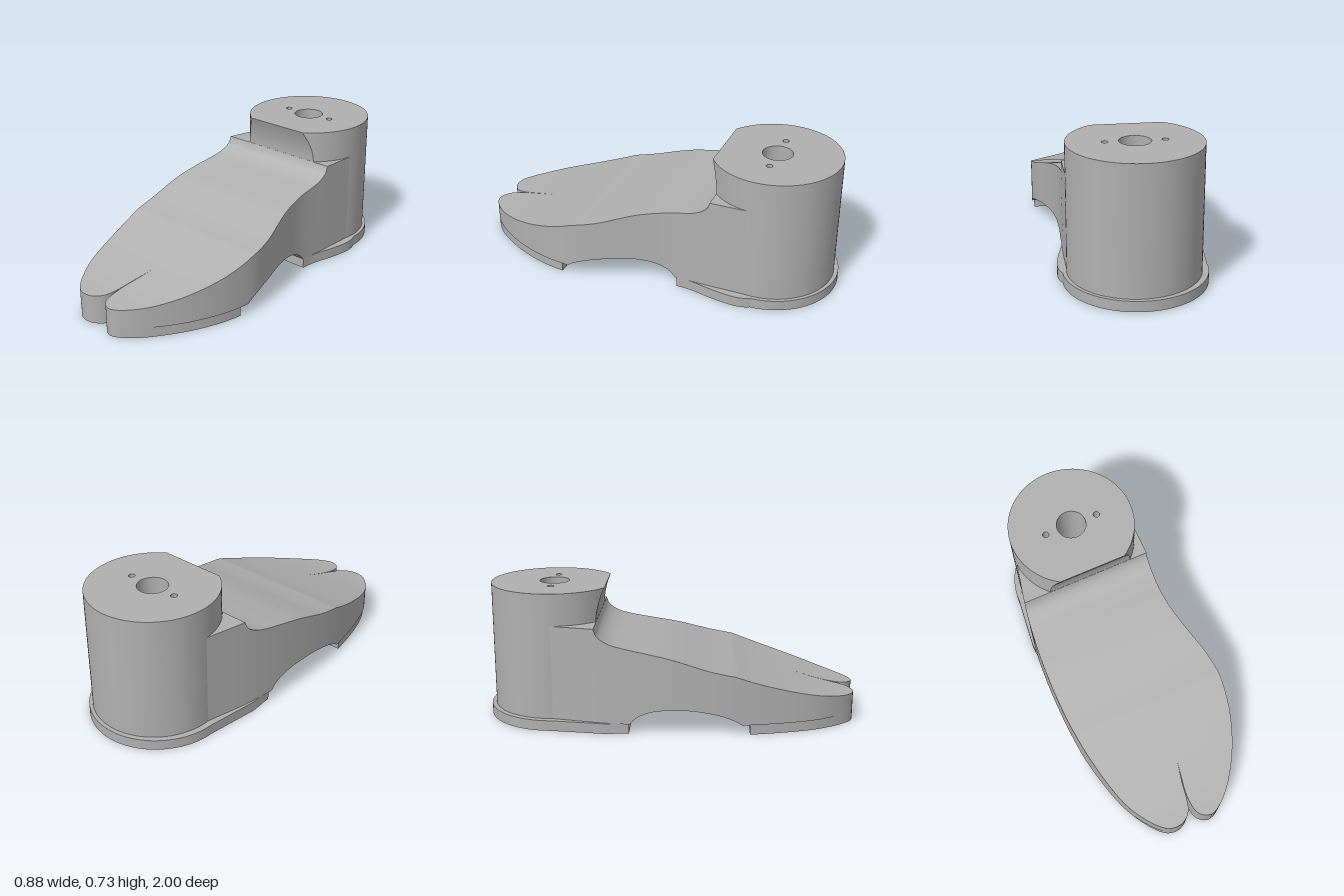
import * as THREE from 'three';
import { toCreasedNormals } from 'three/addons/utils/BufferGeometryUtils.js';

// Smooth function value(key) through [key, value] points
function curveFn(points) {
  const pts = new THREE.CatmullRomCurve3(points.map(([k, v]) => new THREE.Vector3(k, v, 0))).getPoints(240);
  return (k) => {
    if (k <= pts[0].x) return pts[0].y;
    for (let i = 1; i < pts.length; i++) {
      if (k <= pts[i].x) {
        const a = pts[i - 1], b = pts[i];
        return a.y + (b.y - a.y) * (k - a.x) / (b.x - a.x || 1);
      }
    }
    return pts[pts.length - 1].y;
  };
}

// Skin over equal-sized closed rings of [x, y, z]; caps are for four-cornered rings
function loft(rings, capped) {
  const n = rings[0].length, index = [];
  for (let i = 0; i < rings.length - 1; i++) {
    for (let k = 0; k < n; k++) {
      const a = i * n + k, b = i * n + (k + 1) % n;
      index.push(a, b, b + n, a, b + n, a + n);
    }
  }
  if (capped) {
    const e = (rings.length - 1) * n;
    index.push(0, 2, 1, 0, 3, 2, e, e + 1, e + 2, e, e + 2, e + 3);
  }
  const g = new THREE.BufferGeometry();
  g.setAttribute('position', new THREE.Float32BufferAttribute(rings.flat(2), 3));
  g.setIndex(index);
  return toCreasedNormals(g, 0.5);
}

// Plan outline of the foot: x along z
const outerRight = curveFn([[-0.62, -0.35], [-0.39, -0.4], [-0.3, -0.415], [-0.1, -0.435], [0.1, -0.44], [0.3, -0.43],
  [0.5, -0.4], [0.7, -0.35], [0.8, -0.31], [0.9, -0.245], [0.95, -0.2], [0.975, -0.165], [0.985, -0.13]]);
const outerLeft = curveFn([[-0.62, 0.328], [-0.39, 0.326], [-0.2, 0.322], [-0.1, 0.333], [0, 0.355], [0.1, 0.385], [0.2, 0.415],
  [0.34, 0.436], [0.5, 0.418], [0.6, 0.39], [0.7, 0.35], [0.8, 0.295], [0.9, 0.222], [0.96, 0.16], [0.99, 0.115], [1, 0.085]]);
const innerRight = curveFn([[0.66, 0.03], [0.78, 0.006], [0.88, -0.01], [0.93, -0.025], [0.96, -0.05], [0.98, -0.085], [0.985, -0.115]]);
const innerLeft = curveFn([[0.66, 0.03], [0.75, 0.014], [0.85, 0], [0.92, 0.003], [0.96, 0.015], [0.99, 0.045], [1, 0.075]]);

// Side profile: top of the foot and arch underneath
const instep = curveFn([[-0.39, 0.56], [-0.38, 0.53], [-0.355, 0.505], [-0.31, 0.482], [-0.25, 0.466], [-0.15, 0.447],
  [0, 0.415], [0.1, 0.385], [0.2, 0.353], [0.28, 0.333], [0.34, 0.32]]);
const toeTop = curveFn([[0.34, 0.32], [0.45, 0.281], [0.6, 0.236], [0.8, 0.185], [0.9, 0.165], [1, 0.152]]);
const topY = (z) => (z < 0.34 ? instep(z) : toeTop(z));
const archFn = curveFn([[-0.215, 0], [-0.21, 0.04], [-0.19, 0.075], [-0.15, 0.105], [-0.1, 0.125], [-0.03, 0.137], [0.04, 0.14],
  [0.12, 0.137], [0.2, 0.125], [0.28, 0.105], [0.35, 0.075], [0.39, 0.045], [0.42, 0]]);
const SOLE = 0.056;
const bottomY = (z) => Math.max(SOLE, archFn(z));

// Four-cornered sections from z0 to z1, bunched towards rounded tips
function strip(z0, z1, steps, xr, xl, yb, yt, rounded) {
  const rings = [];
  for (let i = 0; i <= steps; i++) {
    const t = i / steps;
    const z = z0 + (z1 - z0) * (rounded ? Math.sin(t * Math.PI / 2) : t);
    const a = xr(z), b = xl(z), lo = yb(z), hi = yt(z);
    rings.push([[a, lo, z], [b, lo, z], [b, hi, z], [a, hi, z]]);
  }
  return loft(rings, true);
}

export function createModel() {
  const model = new THREE.Group();
  const grey = new THREE.MeshStandardMaterial({ color: 0xb0b0b0 });
  grey.name = 'grey';
  const add = (name, geometry, parent = model) => {
    const mesh = new THREE.Mesh(geometry, grey);
    mesh.name = name;
    parent.add(mesh);
    return mesh;
  };

  // Foot body and the two split toes
  add('footBody', strip(-0.62, 0.66, 128, outerRight, outerLeft, bottomY, topY));
  add('rightToe', strip(0.66, 0.985, 36, outerRight, innerRight, bottomY, topY, true));
  add('leftToe', strip(0.66, 1, 36, innerLeft, outerLeft, bottomY, topY, true));

  // Front sole pad, slightly inset on its outer edges
  const ground = () => 0, padTop = () => SOLE;
  const inset = (z) => 0.01 * Math.min(1, (1 - z) / 0.2);
  const padRight = (z) => outerRight(z) + inset(z);
  const padLeft = (z) => outerLeft(z) - inset(z);
  add('frontSole', strip(0.42, 0.66, 24, padRight, padLeft, ground, padTop));
  add('rightToeSole', strip(0.66, 0.985, 36, padRight, innerRight, ground, padTop, true));
  add('leftToeSole', strip(0.66, 1, 36, innerLeft, padLeft, ground, padTop, true));

  // Heel sole: round flange at the back, straight edge at the arch (shape y is -z)
  const heel = new THREE.Shape();
  heel.moveTo(-0.41, 0.212);
  heel.lineTo(0.318, 0.212);
  heel.splineThru([[0.326, 0.3], [0.355, 0.43], [0.37, 0.54], [0.365, 0.6], [0.352, 0.635]].map((p) => new THREE.Vector2(...p)));
  heel.absarc(-0.017, 0.632, 0.368, 0, Math.PI, false);
  heel.lineTo(-0.42, 0.34);
  heel.closePath();
  const heelGeo = new THREE.ExtrudeGeometry(heel, { depth: SOLE, bevelEnabled: false, curveSegments: 40 });
  add('heelSole', toCreasedNormals(heelGeo.rotateX(-Math.PI / 2), 0.5));

  // Ankle: a cylinder whose front is cut by a concave curve
  const cx = -0.01, cz = -0.637, r = 0.341, top = 0.73, seg = 72;
  const cutZ = curveFn([[0.05, -0.39], [0.58, -0.39], [0.62, -0.385], [0.68, -0.369], [top, -0.35]]);
  const ring = (y) => {
    const half = Math.acos((cutZ(y) - cz) / r);
    return Array.from({ length: seg + 1 }, (_, i) => {
      const t = half + (2 * Math.PI - 2 * half) * i / seg;
      return [cx + r * Math.sin(t), y, cz + r * Math.cos(t)];
    });
  };
  const levels = [0.05, 0.5];
  for (let i = 0; i <= 10; i++) levels.push(0.56 + (top - 0.56) * i / 10);
  add('ankle', loft(levels.map(ring), false));

  // Ankle top plate with a centre bore and two pin holes
  const plate = new THREE.Shape(ring(top).map(([x, , z]) => new THREE.Vector2(x, -z)));
  const holes = [['centreBore', cx, 0.08, 0.45], ['rightPinHole', -0.158, 0.017, 0.2], ['leftPinHole', 0.138, 0.017, 0.2]];
  for (const [name, x, radius, depth] of holes) {
    plate.holes.push(new THREE.Path().absarc(x, -cz, radius, 0, Math.PI * 2, true));
    const wall = [[radius, 0], [radius, -depth], [0, -depth]].map((p) => new THREE.Vector2(...p));
    const bore = toCreasedNormals(new THREE.LatheGeometry(wall, 32), 0.5);
    add(name, bore).position.set(x, top, cz);
  }
  const plateGeo = new THREE.ShapeGeometry(plate, 16).rotateX(-Math.PI / 2);
  add('ankleTop', plateGeo).position.y = top;

  return model;
}
